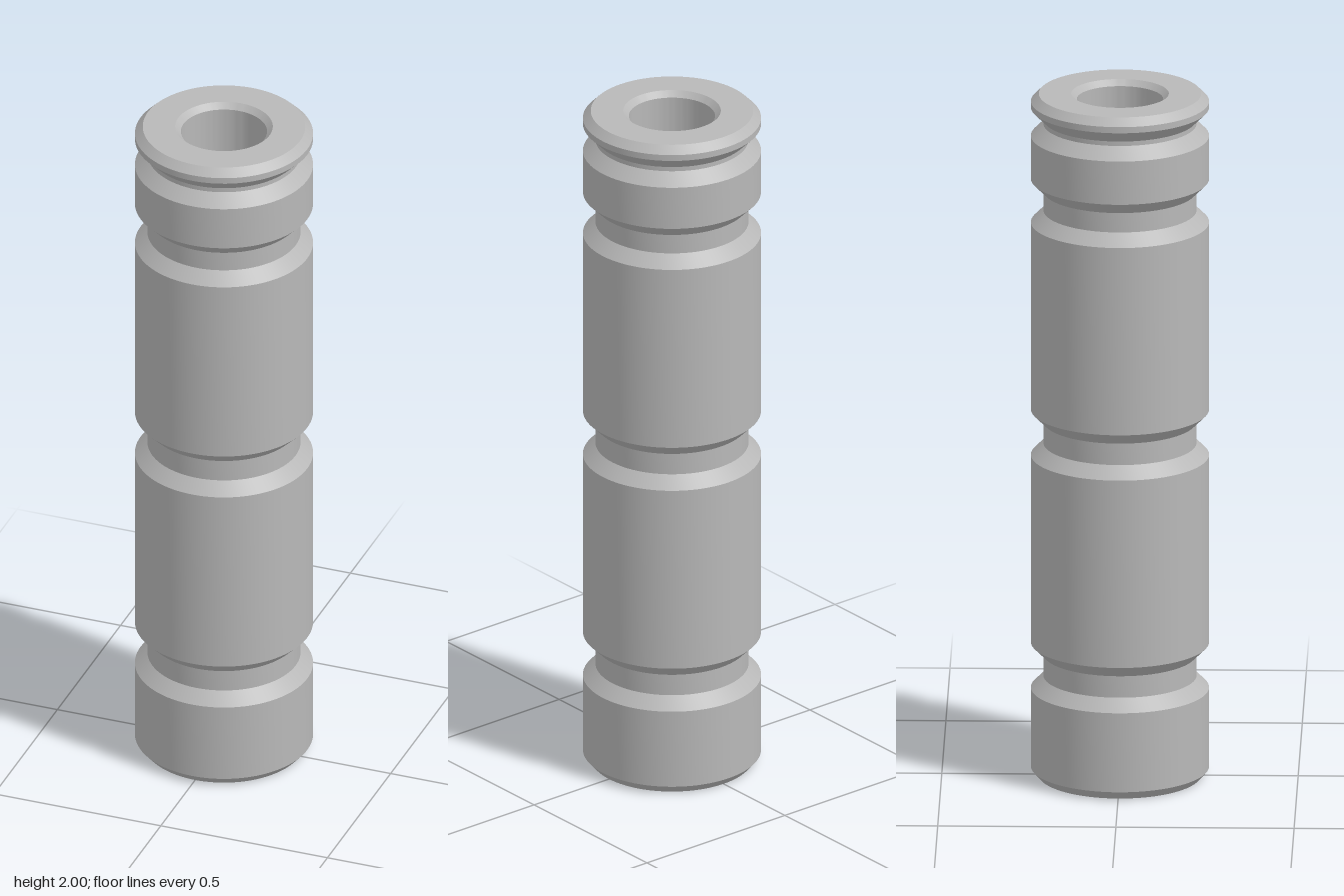
import * as THREE from 'three';
import { toCreasedNormals } from 'three/addons/utils/BufferGeometryUtils.js';

const R = 0.25;        // outer radius
const GROOVE_R = 0.215; // groove floor radius
const CHAMFER = 0.035;  // height of the sloped groove walls
const END_R = 0.228;    // radius of the flat end faces
const BORE_R = 0.121;
const BORE_MOUTH_R = 0.137;

export function createModel() {
  const group = new THREE.Group();
  const steel = new THREE.MeshStandardMaterial({ color: 0xb8b8b8 });
  steel.name = 'steel grey';

  // Outer wall from bottom to top, with a chamfered ring groove at each height range
  const profile = [[BORE_MOUTH_R, 0], [END_R, 0], [R, 0.025]];
  const grooves = [[0.257, 0.39], [0.94, 1.073], [1.623, 1.75], [1.877, 1.96]];
  for (const [low, high] of grooves) {
    profile.push([R, low], [GROOVE_R, low + CHAMFER], [GROOVE_R, high - CHAMFER], [R, high]);
  }
  // Top face, then down the chamfered bore and back to the start
  profile.push([R, 1.978], [END_R, 2], [BORE_MOUTH_R, 2], [BORE_R, 1.984], [BORE_R, 0.016], [BORE_MOUTH_R, 0]);

  const points = profile.map(([r, y]) => new THREE.Vector2(r, y));
  const sleeve = new THREE.Mesh(toCreasedNormals(new THREE.LatheGeometry(points, 96), Math.PI / 8), steel);
  sleeve.name = 'groovedSleeve';
  group.add(sleeve);
  group.name = 'groovedHollowPin';
  return group;
}
